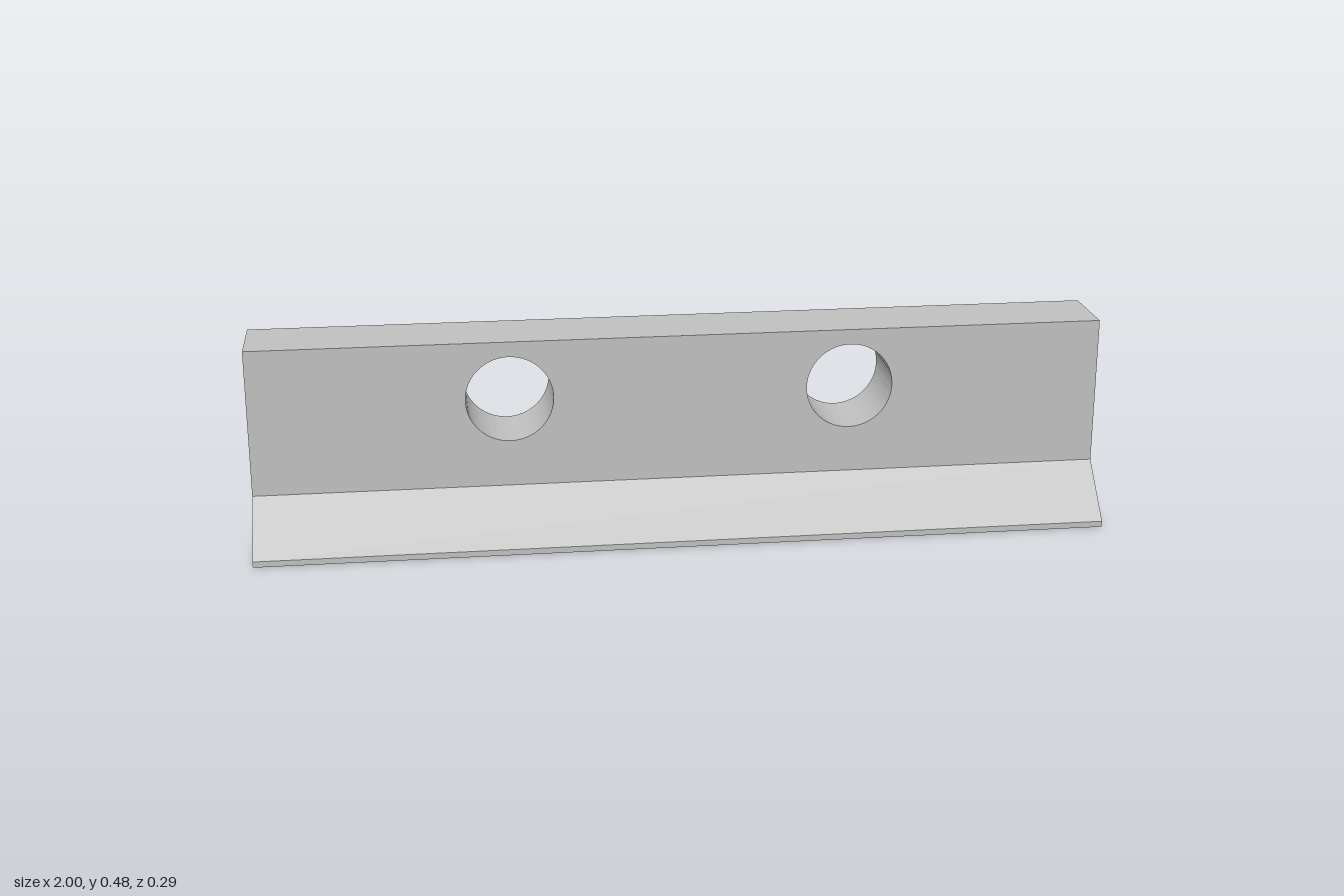
import * as THREE from 'three';
import { toCreasedNormals } from 'three/addons/utils/BufferGeometryUtils.js';

const LENGTH = 2, HEIGHT = 0.48;
const BACK = -0.146, FACE = 0.03, TOE = 0.146;

export function createModel() {
  const group = new THREE.Group();
  group.name = 'drilledBar';
  const steel = new THREE.MeshStandardMaterial({ color: 0xc0c0c0 });
  steel.name = 'grey steel';

  const add = (name, geometry) => {
    const mesh = new THREE.Mesh(toCreasedNormals(geometry, 0.5), steel);
    mesh.name = name;
    group.add(mesh);
  };

  // upright bar with two round through holes
  const h = LENGTH / 2;
  const front = new THREE.Shape([
    new THREE.Vector2(-h, 0), new THREE.Vector2(h, 0),
    new THREE.Vector2(h, HEIGHT), new THREE.Vector2(-h, HEIGHT),
  ]);
  for (const x of [-0.4, 0.4]) {
    front.holes.push(new THREE.Path().absarc(x, 0.342, 0.102, 0, Math.PI * 2, true));
  }
  const bar = new THREE.ExtrudeGeometry(front, { depth: FACE - BACK, bevelEnabled: false, curveSegments: 48 });
  bar.translate(0, 0, BACK);
  add('uprightBar', bar);

  // sloping foot along the front, profile in (z, y) swept along x
  const profile = new THREE.Shape([
    new THREE.Vector2(FACE, 0), new THREE.Vector2(TOE, 0),
    new THREE.Vector2(TOE, 0.014), new THREE.Vector2(FACE, 0.13),
  ]);
  const foot = new THREE.ExtrudeGeometry(profile, { depth: LENGTH, bevelEnabled: false });
  foot.rotateY(-Math.PI / 2).translate(h, 0, 0);
  add('slopingFoot', foot);

  return group;
}
